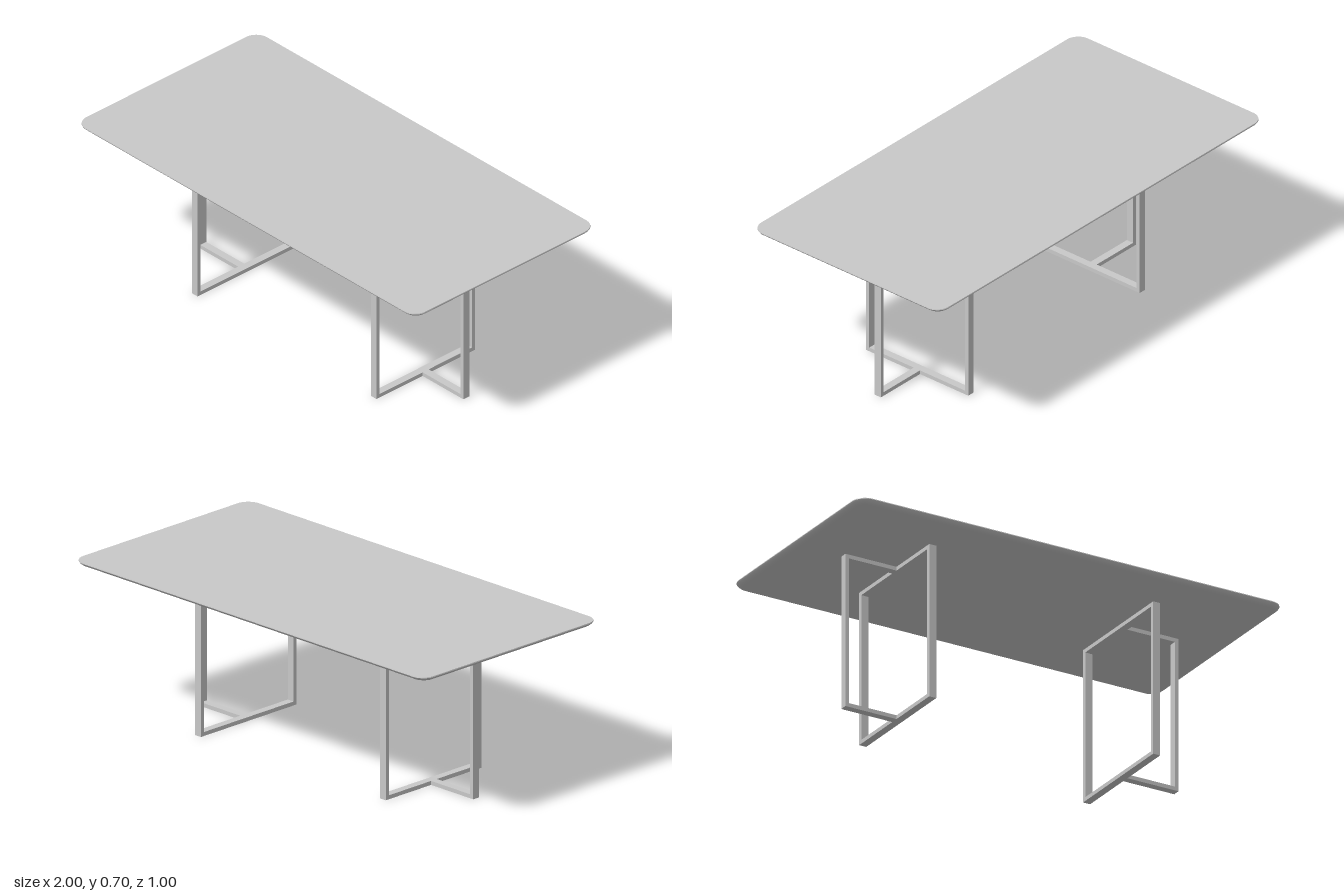
import * as THREE from 'three';
import { toCreasedNormals } from 'three/addons/utils/BufferGeometryUtils.js';

const TOP_Y = 0.696, UNDER_Y = 0.676; // table top faces
const BAR = 0.017, WIDE = 0.033;      // frame bar thickness and width

// Outline of a rounded rectangle, shrunk by an inset
function outline(inset) {
  const halfX = 1, halfZ = 0.5, radius = 0.06, steps = 10, pts = [];
  const corners = [[1, 1], [-1, 1], [-1, -1], [1, -1]];
  corners.forEach(([sx, sz], q) => {
    for (let i = 0; i <= steps; i++) {
      const a = (q + i / steps) * Math.PI / 2;
      pts.push([
        sx * (halfX - radius) + (radius - inset) * Math.cos(a),
        sz * (halfZ - radius) + (radius - inset) * Math.sin(a),
      ]);
    }
  });
  return pts;
}

// Slab with a crisp upper edge and a rounded-under lower edge
function tableTopGeometry() {
  const profile = [[0.001, TOP_Y], [0, 0.692], [0.004, 0.686], [0.013, 0.679], [0.025, UNDER_Y]];
  const positions = [], index = [];
  const n = outline(0).length;
  for (const [inset, y] of profile) {
    for (const [x, z] of outline(inset)) positions.push(x, y, z);
  }
  const last = (profile.length - 1) * n;
  const topCentre = profile.length * n, underCentre = topCentre + 1;
  positions.push(0, TOP_Y, 0, 0, UNDER_Y, 0);
  for (let i = 0; i < n; i++) {
    const j = (i + 1) % n;
    for (let r = 0; r < last; r += n) {
      index.push(r + i, r + j, r + n + i, r + j, r + n + j, r + n + i);
    }
    index.push(topCentre, j, i, underCentre, last + i, last + j);
  }
  const g = new THREE.BufferGeometry();
  g.setAttribute('position', new THREE.Float32BufferAttribute(positions, 3));
  g.setIndex(index);
  return toCreasedNormals(g, 0.6);
}

export function createModel() {
  const grey = new THREE.MeshStandardMaterial({ color: 0xc8c8c8 });
  grey.name = 'light grey';
  const model = new THREE.Group();
  model.name = 'diningTable';

  const top = new THREE.Mesh(tableTopGeometry(), grey);
  top.name = 'tableTop';
  model.add(top);

  // Box given by its minimum and maximum corners
  const bar = (parent, name, x0, x1, y0, y1, z0, z1) => {
    const m = new THREE.Mesh(new THREE.BoxGeometry(x1 - x0, y1 - y0, z1 - z0), grey);
    m.position.set((x0 + x1) / 2, (y0 + y1) / 2, (z0 + z1) / 2);
    m.name = name;
    parent.add(m);
  };

  // T-shaped pedestal on each side: a crosswise frame and an outward half frame
  const inner = 0.51, outer = 0.783, back = -0.259, front = 0.285;
  const stemZ = -0.002;
  for (const side of [1, -1]) {
    const leg = new THREE.Group();
    leg.name = side > 0 ? 'leftPedestal' : 'rightPedestal';
    const span = (a, b) => (side > 0 ? [a, b] : [-b, -a]);
    const cross = span(inner, inner + WIDE);
    const stem = span(inner + WIDE, outer - BAR);
    const post = span(outer - BAR, outer);

    bar(leg, 'frontPost', ...cross, 0, UNDER_Y, front - BAR, front);
    bar(leg, 'backPost', ...cross, 0, UNDER_Y, back, back + BAR);
    bar(leg, 'outerPost', ...post, 0, UNDER_Y, stemZ, stemZ + WIDE);
    for (const [level, y] of [['lower', 0], ['upper', UNDER_Y - BAR]]) {
      bar(leg, level + 'CrossBar', ...cross, y, y + BAR, back + BAR, front - BAR);
      bar(leg, level + 'StemBar', ...stem, y, y + BAR, stemZ, stemZ + WIDE);
    }
    model.add(leg);
  }
  return model;
}
